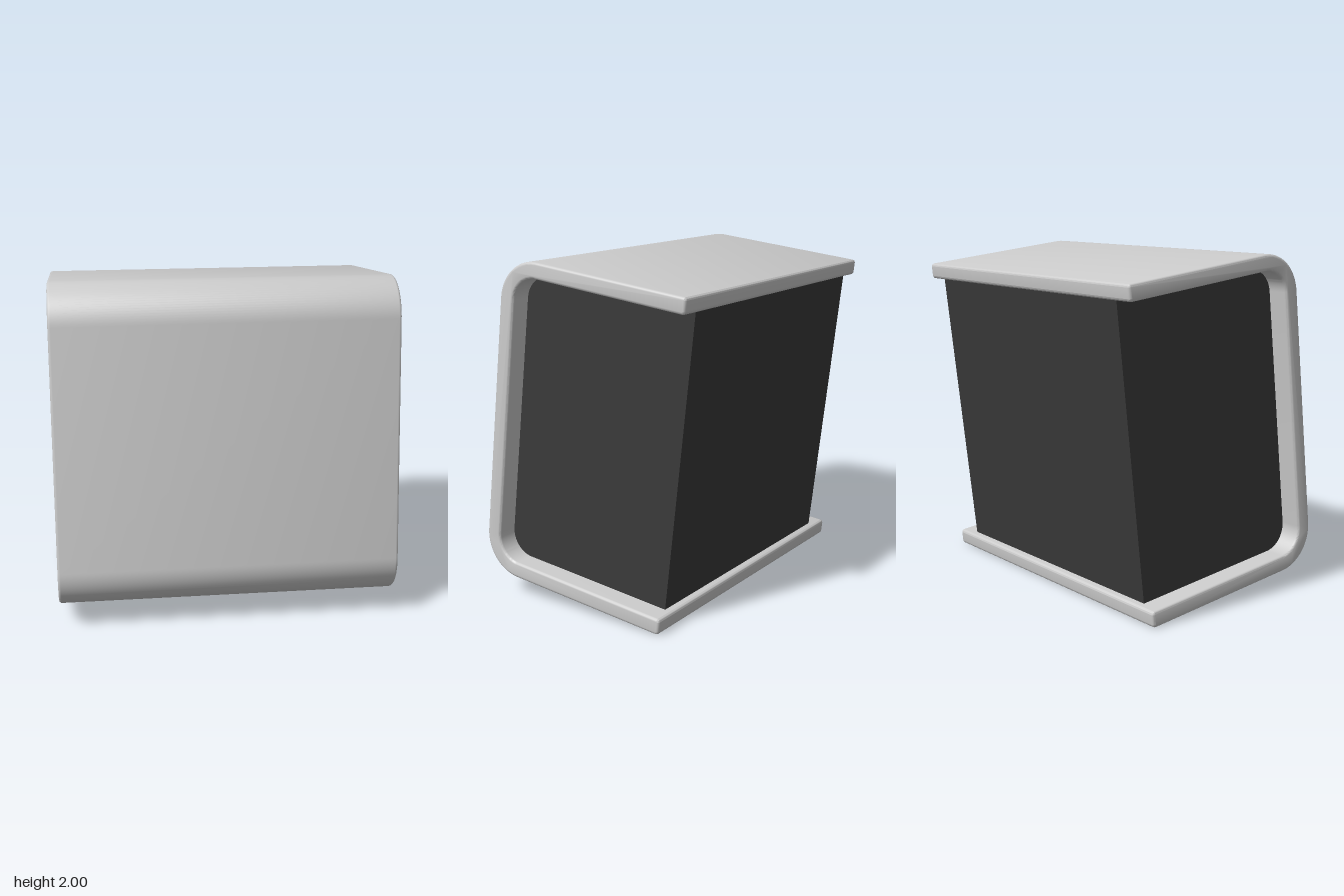
import * as THREE from 'three';
import { toCreasedNormals } from 'three/addons/utils/BufferGeometryUtils.js';

const TILT = 6.6 * Math.PI / 180;
const FRONT = 0.745, TOP = 1.957, BOTTOM = 0.062; // outer faces in the tilted frame
const BACK_TOP = -0.483, BACK_BOTTOM = -0.517, BACK_BODY = -0.469;
const WALL = 0.095, RADIUS = 0.24, EDGE = 0.016;

// Closed outline from [x, y, corner radius] points
function roundedOutline(points) {
  const shape = new THREE.Shape();
  const n = points.length;
  points.forEach(([x, y, r], i) => {
    const p = new THREE.Vector2(x, y);
    const toward = ([qx, qy]) => new THREE.Vector2(qx, qy).sub(p).normalize().multiplyScalar(r).add(p);
    const a = toward(points[(i + n - 1) % n]);
    const b = toward(points[(i + 1) % n]);
    if (i === 0) shape.moveTo(a.x, a.y);
    else shape.lineTo(a.x, a.y);
    if (r === 0) return;
    // Circular fillet between the two tangent points
    const c = a.clone().add(b).sub(p);
    const start = Math.atan2(a.y - c.y, a.x - c.x);
    const end = Math.atan2(b.y - c.y, b.x - c.x);
    const clockwise = Math.sin(end - start) < 0;
    shape.absarc(c.x, c.y, r, start, end, clockwise);
  });
  shape.closePath();
  return shape;
}

// Extrude a side profile across the width, centred on x = 0
function acrossWidth(shape, width, bevel) {
  const g = new THREE.ExtrudeGeometry(shape, {
    depth: width - 2 * bevel, curveSegments: 12,
    bevelEnabled: bevel > 0, bevelSize: bevel, bevelThickness: bevel, bevelOffset: -bevel, bevelSegments: 3,
  });
  g.translate(0, 0, -(width - 2 * bevel) / 2);
  g.rotateY(-Math.PI / 2);
  return toCreasedNormals(g, 0.65);
}

export function createModel() {
  const model = new THREE.Group();
  model.name = 'tiltedCabinet';
  const tilted = new THREE.Group();
  tilted.name = 'cabinet';
  tilted.rotation.x = -TILT;
  model.add(tilted);

  const add = (name, geometry, color) => {
    const mesh = new THREE.Mesh(geometry, new THREE.MeshStandardMaterial({ color }));
    mesh.name = name;
    tilted.add(mesh);
  };

  const inFront = FRONT - WALL, inTop = TOP - WALL, inBottom = BOTTOM + WALL;
  const inRadius = RADIUS - WALL;

  // C-shaped wrap: bottom plate, front panel and top plate in one bent sheet
  add('outerShell', acrossWidth(roundedOutline([
    [BACK_BOTTOM, BOTTOM, 0.02],
    [FRONT, BOTTOM, RADIUS],
    [FRONT, TOP, RADIUS],
    [BACK_TOP, TOP, 0.02],
    [BACK_TOP, inTop, 0.02],
    [inFront, inTop, inRadius],
    [inFront, inBottom, inRadius],
    [BACK_BOTTOM, inBottom, 0.02],
  ]), 2, EDGE), 0xcccccc);

  // Dark inner box, set in from both sides
  const lap = 0.004;
  add('innerBox', acrossWidth(roundedOutline([
    [BACK_BODY, inBottom - lap, 0],
    [inFront + lap, inBottom - lap, inRadius],
    [inFront + lap, inTop + lap, inRadius],
    [BACK_BODY, inTop + lap, 0],
  ]), 1.74, 0), 0x3a3a3a);

  return model;
}
